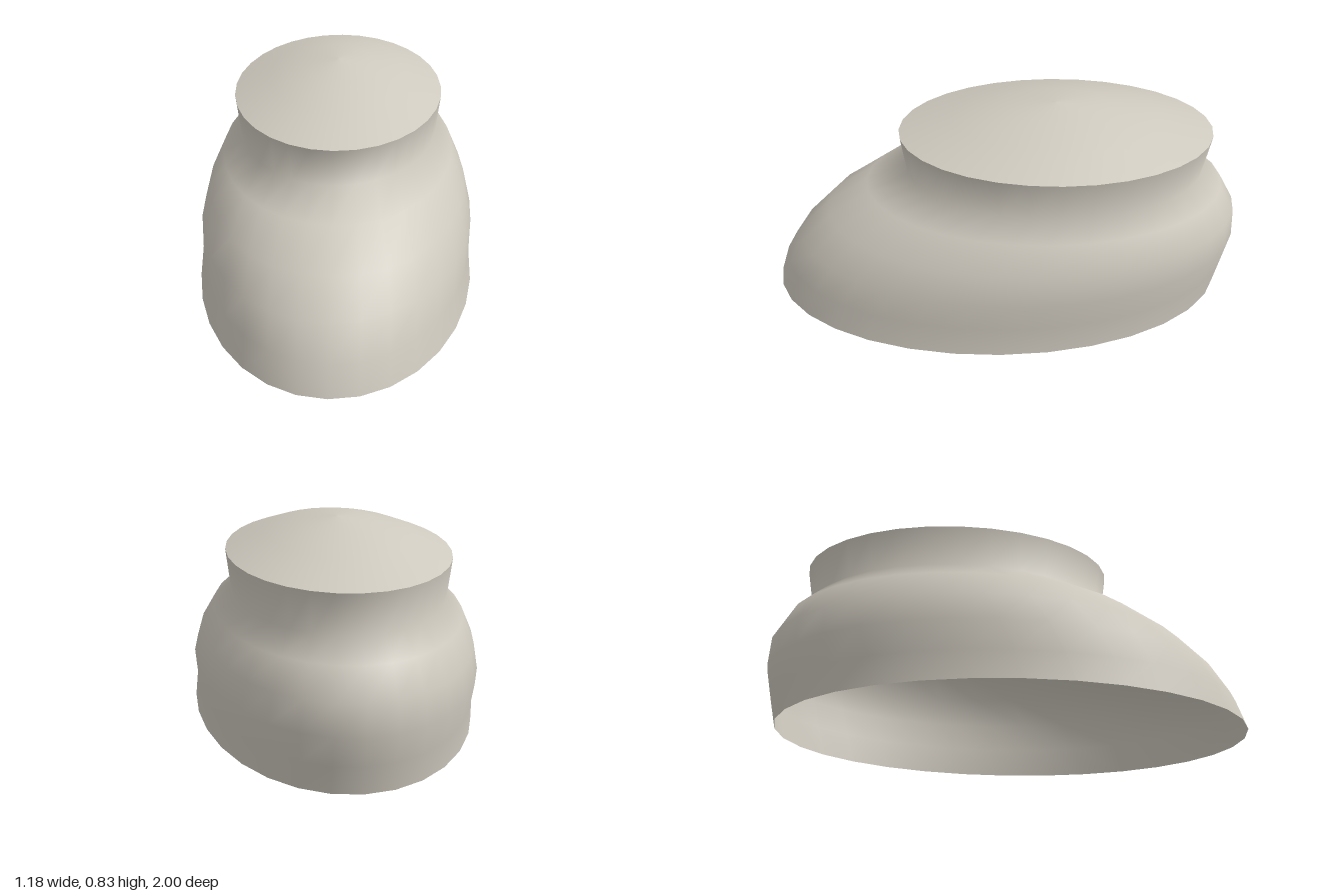
import * as THREE from 'three';

const SEGMENTS = 32;

// Skin a stack of ellipses, each given as [y, half width, front z, back z]
function loftRings(rings) {
  const positions = [];
  const index = [];
  for (const [y, halfWidth, front, back] of rings) {
    const centre = (front + back) / 2;
    const halfDepth = (front - back) / 2;
    for (let i = 0; i < SEGMENTS; i++) {
      const t = (i / SEGMENTS) * Math.PI * 2;
      positions.push(Math.sin(t) * halfWidth, y, centre + Math.cos(t) * halfDepth);
    }
  }
  for (let r = 0; r < rings.length - 1; r++) {
    for (let i = 0; i < SEGMENTS; i++) {
      const a = r * SEGMENTS + i;
      const b = r * SEGMENTS + ((i + 1) % SEGMENTS);
      const c = a + SEGMENTS;
      const d = b + SEGMENTS;
      index.push(a, b, d);
      if (rings[r + 1][1] > 0) index.push(a, d, c);
    }
  }
  const geometry = new THREE.BufferGeometry();
  geometry.setAttribute('position', new THREE.Float32BufferAttribute(positions, 3));
  geometry.setIndex(index);
  geometry.computeVertexNormals();
  return geometry;
}

export function createModel() {
  const model = new THREE.Group();
  model.name = 'slantedPot';

  const stone = new THREE.MeshStandardMaterial({ color: 0xcfcabf, side: THREE.DoubleSide });
  stone.name = 'warm grey';

  // Hollow leaning body, open underneath, flowing into the flared collar
  const body = new THREE.Mesh(loftRings([
    [0, 0.59, 1.0, -0.945],
    [0.12, 0.578, 0.96, -0.972],
    [0.24, 0.585, 0.88, -0.997],
    [0.36, 0.555, 0.76, -0.99],
    [0.475, 0.5, 0.585, -0.925],
    [0.55, 0.427, 0.413, -0.836],
    [0.713, 0.446, 0.437, -0.865],
  ]), stone);
  body.name = 'bodyAndCollar';

  // Shallow domed lid, with a sharp rim where it meets the collar
  const lidCentre = -0.214;
  const lid = new THREE.Mesh(loftRings(
    [[0.713, 1], [0.775, 2 / 3], [0.82, 1 / 3], [0.835, 0]].map(([y, s]) =>
      [y, 0.446 * s, lidCentre + 0.651 * s, lidCentre - 0.651 * s]),
  ), stone);
  lid.name = 'lid';

  model.add(body, lid);
  return model;
}
